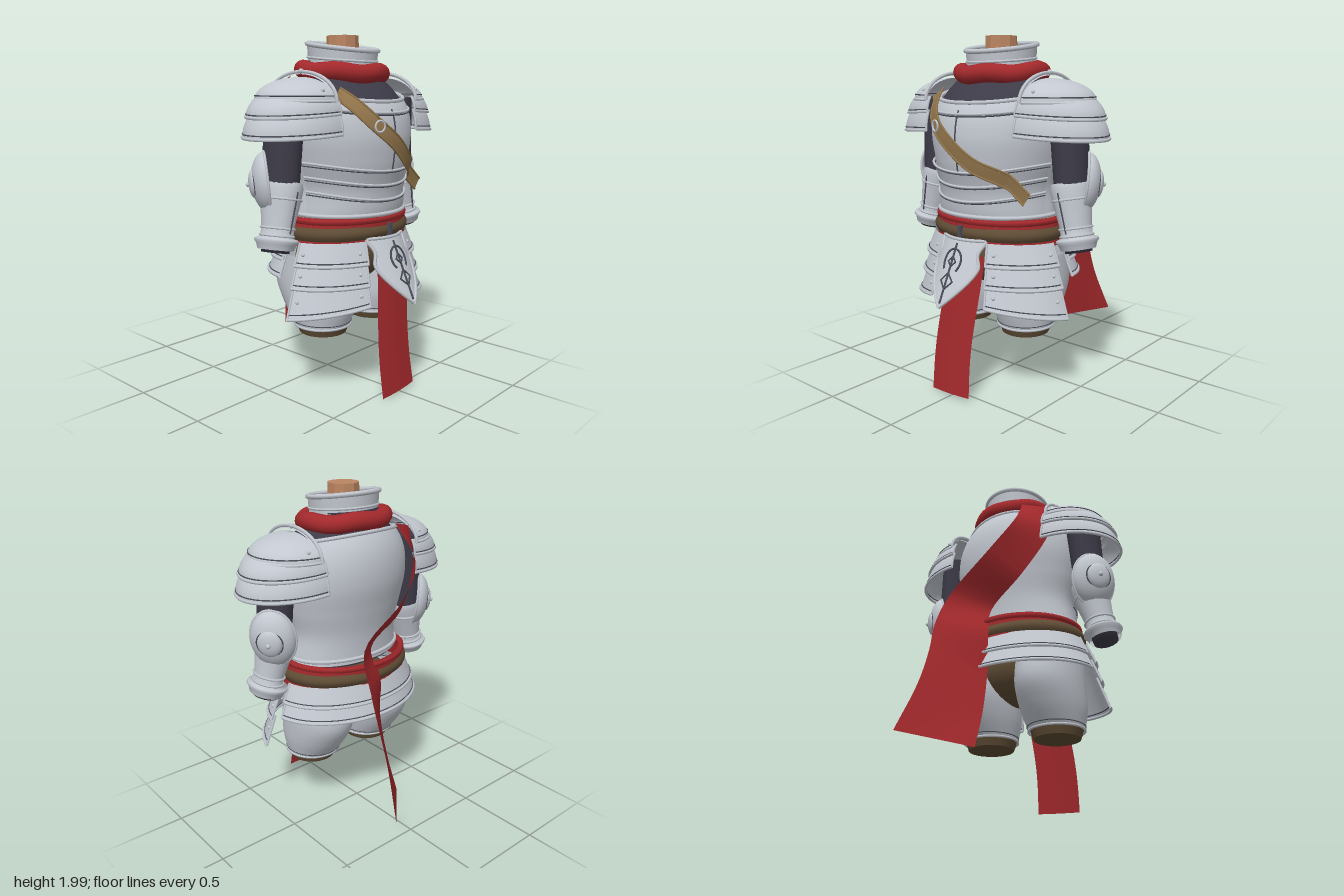
import * as THREE from 'three';
import { ParametricGeometry } from 'three/addons/geometries/ParametricGeometry.js';

const V = (x, y, z) => new THREE.Vector3(x, y, z);
const lerp = THREE.MathUtils.lerp;

function material(name, color) {
  const m = new THREE.MeshStandardMaterial({ color, side: THREE.DoubleSide });
  m.name = name;
  return m;
}

export function createModel() {
  const steel = material('steel', 0xc3c8d0), line = material('dark groove', 0x4b4e59);
  const dark = material('dark cloth', 0x3d3b48), red = material('red cloth', 0xa3292c);
  const brown = material('brown leather', 0x5f4c35), tan = material('tan leather', 0x92754b);
  const skin = material('skin', 0xbb8562);
  const root = new THREE.Group();

  const add = (parent, name, geo, mat, x = 0, y = 0, z = 0) => {
    const m = new THREE.Mesh(geo, mat);
    m.name = name;
    m.position.set(x, y, z);
    parent.add(m);
    return m;
  };
  // Surface from a rule f(u, v) returning a point
  const sheet = (parent, name, f, mat, nu = 40, nv = 10) =>
    add(parent, name, new ParametricGeometry((u, v, t) => t.copy(f(u, v)), nu, nv), mat);
  // Thin round bead along a rule f(t)
  const bead = (parent, name, f, r, mat, closed = false, n = 40) => {
    const pts = [];
    for (let i = 0; i < n + (closed ? 0 : 1); i++) pts.push(f(i / n));
    return add(parent, name, new THREE.TubeGeometry(new THREE.CatmullRomCurve3(pts, closed), n, r, 6, closed), mat);
  };
  // Steel plate with a raised lower edge, dark groove and optional side edges
  const plate = (parent, name, f, { sides = true, closed = false, r = 0.009 } = {}) => {
    sheet(parent, name, f, steel);
    bead(parent, name + 'Edge', u => f(u, 0), r, steel, closed);
    bead(parent, name + 'Groove', u => f(u, 0.14), 0.0035, line, closed);
    if (sides) for (const u of [0, 1]) bead(parent, name + 'SideEdge', t => f(u, t), r * 0.8, steel, false, 10);
  };
  const rivet = (parent, p, r = 0.011) => add(parent, 'rivet', new THREE.SphereGeometry(r, 8, 6), steel, p.x, p.y, p.z);

  // Torso sections: height, half width, front z, back z
  const rows = [[0.98, 0.37, 0.45, -0.11], [1.05, 0.36, 0.46, -0.11], [1.17, 0.35, 0.46, -0.12], [1.32, 0.385, 0.485, -0.15],
    [1.47, 0.41, 0.495, -0.18], [1.6, 0.4, 0.465, -0.18], [1.69, 0.36, 0.40, -0.16], [1.76, 0.3, 0.32, -0.125], [1.82, 0.2, 0.28, -0.08]];
  const profile = new THREE.CubicInterpolant(rows.map(r => r[0]), rows.flatMap(r => r.slice(1)), 3);
  const torso = (a, y, off = 0) => {
    const [w, f, b] = profile.evaluate(y);
    return V(Math.sin(a) * (w + off), y, 0.13 + Math.cos(a) * ((Math.cos(a) > 0 ? f - 0.13 : 0.13 - b) + off));
  };
  const around = u => (u * 2 - 1) * Math.PI;
  const neckline = a => 1.7 - 0.06 * Math.cos(a);
  sheet(root, 'undergarment', (u, v) => torso(around(u), lerp(0.98, 1.83, v), -0.02), dark, 48, 20);
  sheet(root, 'cuirass', (u, v) => torso(around(u), lerp(1.0, neckline(around(u)), v)), steel, 64, 30);
  bead(root, 'necklineEdge', u => torso(around(u), neckline(around(u))), 0.012, steel, true, 64);
  bead(root, 'necklineRidge', u => torso(lerp(-1.1, 1.1, u), neckline(lerp(-1.1, 1.1, u)) - 0.06, 0.002), 0.008, steel);
  bead(root, 'necklineGroove', u => torso(lerp(-1.1, 1.1, u), neckline(lerp(-1.1, 1.1, u)) - 0.072, 0.001), 0.004, line);
  bead(root, 'chestGroove', t => torso(0, lerp(1.24, 1.6, t), 0.002), 0.0045, line, false, 14);
  bead(root, 'waistEdge', u => torso(around(u), 1.03, 0.004), 0.012, steel, true, 64);

  // Overlapping waist lames
  [1.27, 1.19, 1.11].forEach((y, i) => plate(root, 'waistLame', (u, v) => {
    const a = lerp(1.45, -1.45, u), top = y + 0.05 * Math.abs(Math.sin(a)) ** 2;
    return torso(a, lerp(top, Math.max(1.03, y - 0.07), v), 0.016 - 0.010 * v - 0.002 * i);
  }, { sides: false, r: 0.007 }));

  // Neck and gorget
  const neck = new THREE.LatheGeometry([[0, 2], [0.09, 2], [0.094, 1.88], [0.155, 1.79], [0.15, 1.74]].map(p => new THREE.Vector2(...p)), 10).toNonIndexed();
  neck.computeVertexNormals();
  add(root, 'neck', neck, skin, 0, 0, 0.115);
  const gorget = (u, v) => {
    const a = around(u), top = 1.938 - 0.028 * Math.cos(a), r = 0.195 + 0.012 * Math.abs(v - 0.5);
    return V(Math.sin(a) * r, lerp(1.76, top, v), 0.115 + Math.cos(a) * r);
  };
  sheet(root, 'gorget', gorget, steel, 48, 8);
  bead(root, 'gorgetRim', u => gorget(u, 1), 0.014, steel, true, 48);
  bead(root, 'gorgetRidge', u => gorget(u, 0.62), 0.007, steel, true, 48);
  bead(root, 'gorgetLining', u => gorget(u, 0.5).multiply(V(0.93, 1, 0.93)), 0.012, dark, true, 48);
  bead(root, 'scarf', u => V(Math.sin(around(u)) * 0.235, 1.803 - 0.012 * Math.cos(around(u)) + 0.006 * Math.sin(around(u) * 5), 0.113 + Math.cos(around(u)) * 0.208), 0.052, red, true, 48)
    .geometry = new THREE.TubeGeometry(new THREE.CatmullRomCurve3([...Array(24).keys()].map(i => {
      const a = i / 12 * Math.PI;
      return V(Math.sin(a) * 0.235, 1.803 - 0.012 * Math.cos(a) + 0.006 * Math.sin(a * 5), 0.113 + Math.cos(a) * 0.208);
    }), true), 64, 0.052, 14, true);

  // Scarf tail sweeping down the back
  const edgeA = new THREE.CatmullRomCurve3([V(-0.18, 1.78, -0.12), V(-0.21, 1.58, -0.26), V(-0.07, 1.4, -0.31), V(0.21, 1.17, -0.31),
    V(0.24, 0.95, -0.4), V(0.23, 0.77, -0.45), V(0.23, 0.55, -0.53), V(0.27, 0.27, -0.65)]);
  const edgeB = new THREE.CatmullRomCurve3([V(-0.36, 1.73, -0.05), V(-0.35, 1.52, -0.1), V(-0.2, 1.27, -0.16), V(0.02, 1.09, -0.15),
    V(0, 0.92, -0.21), V(0, 0.67, -0.215), V(-0.01, 0.42, -0.27), V(-0.02, 0.21, -0.35)]);
  sheet(root, 'scarfTail', (u, v) => edgeA.getPoint(v).lerp(edgeB.getPoint(v), u), red, 6, 42);

  // Sash and belt
  const oval = (a, y, w, d) => V(Math.sin(a) * w, y, 0.13 + Math.cos(a) * d);
  sheet(root, 'sash', (u, v) => oval(around(u), lerp(0.86, 1.02, v), 0.4 - 0.02 * v, 0.325), red, 48, 4);
  bead(root, 'sashFold', u => oval(around(u), 1.0, 0.38, 0.318), 0.02, red, true, 48);
  sheet(root, 'belt', (u, v) => oval(around(u), lerp(0.895, 0.97, v), 0.405 + 0.015 * Math.sin(v * Math.PI), 0.32 + 0.017 * Math.sin(v * Math.PI)), brown, 48, 8);
  add(root, 'beltLoop', new THREE.BoxGeometry(0.025, 0.09, 0.02), line, 0, 0.93, 0.468);
  add(root, 'pelvis', new THREE.SphereGeometry(1, 24, 16), brown, 0, 0.76, 0.12).scale.set(0.33, 0.19, 0.22);

  // Back skirt
  const skirt = (a, y, off) => oval(a, y, lerp(0.535, 0.44, (y - 0.5) / 0.39) + off, lerp(0.4, 0.335, (y - 0.5) / 0.39) + off);
  [[0.9, 0.79], [0.81, 0.7]].forEach(([top, bottom]) => plate(root, 'backSkirt', (u, v) =>
    skirt(lerp(1.66, Math.PI * 2 - 1.66, u), lerp(bottom, top, v), 0.008 - 0.02 * v)));

  // Centre shield and its line ornament
  const shieldAt = (x, y) => V(x, y, 0.48 + (0.9 - y) * 0.47 - x * x * 2.2);
  const shield = (u, v) => {
    const half = 0.155 * Math.max(0.004, 1 - Math.max(0, (v - 0.4) / 0.6) ** 1.5) - 0.02 * Math.sin(Math.PI * Math.min(1, v * 2.5)) ** 2;
    return shieldAt((u * 2 - 1) * Math.max(half, 0.001), 0.9 - 0.35 * v);
  };
  sheet(root, 'centreShield', shield, steel, 16, 24);
  for (const u of [0, 1]) bead(root, 'shieldEdge', t => shield(u, t), 0.01, steel);
  bead(root, 'shieldTopEdge', t => shield(t, 0), 0.01, steel);
  const mark = (f, closed, n) => bead(root, 'shieldOrnament', t => f(t).add(V(0, 0, 0.003)), 0.006, line, closed, n);
  mark(t => shieldAt(0, lerp(0.88, 0.57, t)), false, 10);
  mark(t => { const a = lerp(-0.75, 3.9, t); return shieldAt(0.058 * Math.cos(a), 0.785 + 0.065 * Math.sin(a)); }, false, 28);
  for (const [y, r] of [[0.785, 0.026], [0.685, 0.042]]) mark(t => shieldAt(r * Math.cos(t * 2 * Math.PI), y + r * Math.sin(t * 2 * Math.PI)), true, 4);

  // Front hanging cloth
  sheet(root, 'frontCloth', (u, v) => V(lerp(-0.12, 0.145, u) + 0.02 * Math.cos(v * 4.5) - 0.025 * v * v + 0.015 * u * v * v,
    lerp(0.82, 0.01, v) + 0.015 * u * v, lerp(0.455, 0.555, v) + 0.008 * Math.sin(u * Math.PI)), red, 10, 20);

  // Shoulder belt across the chest
  const strapPath = new THREE.CatmullRomCurve3([V(-0.285, 1.69, 0), V(-0.17, 1.54, 0), V(-0.02, 1.42, 0), V(0.12, 1.315, 0), V(0.24, 1.255, 0), V(0.39, 1.145, 0)]);
  const strap = (u, v) => {
    const p = strapPath.getPoint(v), t = strapPath.getTangent(v), s = (u - 0.5) * 0.075;
    const x = p.x - t.y * s, y = p.y + t.x * s, [w, f] = profile.evaluate(y);
    return V(x, y, 0.13 + (f - 0.13) * Math.sqrt(Math.max(0.42, 1 - (x / w) ** 2)) + 0.028);
  };
  sheet(root, 'shoulderBelt', strap, tan, 6, 40);
  for (const u of [0, 1]) bead(root, 'shoulderBeltEdge', t => strap(u, t), 0.006, tan);
  const buckleAt = strap(0.5, 0.24);
  add(root, 'beltBuckle', new THREE.TorusGeometry(0.03, 0.006, 6, 16), steel, buckleAt.x, buckleAt.y, buckleAt.z + 0.008).rotation.y = -0.3;

  // Parts that exist on both sides, built for the left and mirrored
  const side = new THREE.Group();
  side.name = 'leftSide';

  // Pauldron: dome above two flaring lames
  const dome = (u, v) => {
    const a = lerp(-Math.PI / 2, Math.PI / 2, u), s = Math.max(0.002, Math.cos(v * Math.PI / 2));
    return V(0.345 + 0.26 * s * Math.cos(a), 1.645 + 0.125 * Math.sin(v * Math.PI / 2), 0.125 + 0.245 * s * Math.sin(a));
  };
  plate(side, 'pauldronDome', dome, { sides: false });
  const lame = (w0, w1, d0, d1, y0, y1) => (u, v) => {
    const a = lerp(-1.62, 1.62, u), k = 1 - v * v;
    return V(0.34 + lerp(w0, w1, k) * Math.cos(a), lerp(y1, y0, v) + 0.02 * (1 - Math.cos(a)) * (1 - v), 0.125 + lerp(d0, d1, k) * Math.sin(a));
  };
  plate(side, 'pauldronUpperLame', lame(0.255, 0.325, 0.235, 0.265, 1.665, 1.56));
  plate(side, 'pauldronLowerLame', lame(0.285, 0.35, 0.25, 0.277, 1.59, 1.455));
  sheet(side, 'pauldronFlange', (u, v) => {
    const a = u * Math.PI, k = lerp(0.96, 1.06, v);
    return V(0.355 - 0.015 * v, 1.645 + 0.145 * Math.sin(a) * k, 0.125 + 0.245 * Math.cos(a) * k);
  }, steel, 24, 2);
  bead(side, 'pauldronFlangeEdge', t => V(0.345, 1.645 + 0.153 * Math.sin(t * Math.PI), 0.125 + 0.255 * Math.cos(t * Math.PI)), 0.01, steel);
  for (const u of [0.08, 0.92]) rivet(side, dome(u, 0.3));
  rivet(side, V(0.35, 1.8, 0.13), 0.015);

  // Arm
  const arm = add(side, 'upperArm', new THREE.CylinderGeometry(0.1, 0.088, 0.5, 20), dark, 0.485, 1.4, 0.122);
  arm.rotation.z = 0.07;
  arm.scale.z = 1.22;
  const forearm = new THREE.Group();
  forearm.name = 'forearm';
  forearm.position.set(0.492, 1.19, 0.12);
  forearm.rotation.set(-0.07, 0, 0.22);
  forearm.scale.z = 1.15;
  side.add(forearm);
  const lathe = (name, pts, mat) => add(forearm, name, new THREE.LatheGeometry(pts.map(p => new THREE.Vector2(...p)), 28), mat);
  lathe('vambrace', [[0.09, -0.33], [0.1, -0.3], [0.112, -0.285], [0.108, -0.272], [0.082, -0.262], [0.083, -0.2], [0.1, -0.08], [0.108, 0], [0.1, 0.03]], steel);
  lathe('wristStub', [[0, -0.345], [0.07, -0.345], [0.075, -0.27]], dark);
  for (const [y, r] of [[-0.255, 0.084], [-0.06, 0.103], [-0.215, 0.084]])
    add(forearm, 'vambraceBand', new THREE.TorusGeometry(r, 0.007, 6, 28), steel, 0, y, 0).rotation.x = Math.PI / 2;
  bead(forearm, 'vambraceGroove', t => V(0, lerp(-0.24, -0.02, t), lerp(0.085, 0.109, t)), 0.004, line, false, 6);

  // Elbow guard facing out and back
  const elbow = new THREE.Group();
  elbow.name = 'elbowGuard';
  elbow.position.set(0.545, 1.22, 0.065);
  elbow.rotation.set(0.1, Math.PI * 0.72, 0, 'YXZ');
  side.add(elbow);
  const guard = add(elbow, 'elbowPlate', new THREE.SphereGeometry(1, 28, 10, 0, Math.PI * 2, 0, Math.PI / 2).rotateX(Math.PI / 2), steel);
  guard.scale.set(0.13, 0.165, 0.085);
  add(elbow, 'elbowEdge', new THREE.TorusGeometry(1, 0.06, 6, 32), steel).scale.set(0.13, 0.165, 0.13);
  add(elbow, 'elbowBoss', new THREE.SphereGeometry(1, 24, 12), steel, 0, 0, 0.07).scale.set(0.07, 0.078, 0.03);
  add(elbow, 'elbowGroove', new THREE.TorusGeometry(0.074, 0.004, 6, 28), line, 0, 0, 0.07);
  rivet(elbow, V(0, 0, 0.1), 0.014);

  // Front tasset lames
  [[0.89, 0.77, 0.77], [0.785, 0.655, 0.65], [0.67, 0.545, 0.485]].forEach(([top, inner, outer]) => {
    const f = (u, v) => skirt(lerp(0.39, 1.4, u), lerp(lerp(inner, outer, u), top, v), 0.01 - 0.022 * v);
    plate(side, 'tassetLame', f);
    for (const u of [0.1, 0.9]) rivet(side, f(u, 0.5));
  });

  // Thigh armour and leg stub
  const thighs = new THREE.CubicInterpolant([0.39, 0.5, 0.62, 0.8], [0.165, 0.16, 0.16, 0.14, 0.182, 0.22, 0.11, 0.188, 0.255, 0.11, 0.185, 0.25], 3);
  const thigh = (u, v) => {
    const y = lerp(0.39, 0.8, v), [cz, rx, rz] = thighs.evaluate(y), a = around(u);
    return V(0.222 + rx * Math.sin(a), y, cz + rz * Math.cos(a));
  };
  sheet(side, 'thighArmour', thigh, steel, 36, 14);
  bead(side, 'thighEdge', u => thigh(u, 0), 0.008, steel, true);
  bead(side, 'thighGroove', u => thigh(u, 0.05), 0.003, line, true);
  add(side, 'legStub', new THREE.CylinderGeometry(0.155, 0.135, 0.06, 28), brown, 0.222, 0.373, 0.168);

  const mirror = side.clone();
  mirror.name = 'rightSide';
  mirror.scale.x = -1;
  root.add(side, mirror);
  return root;
}
